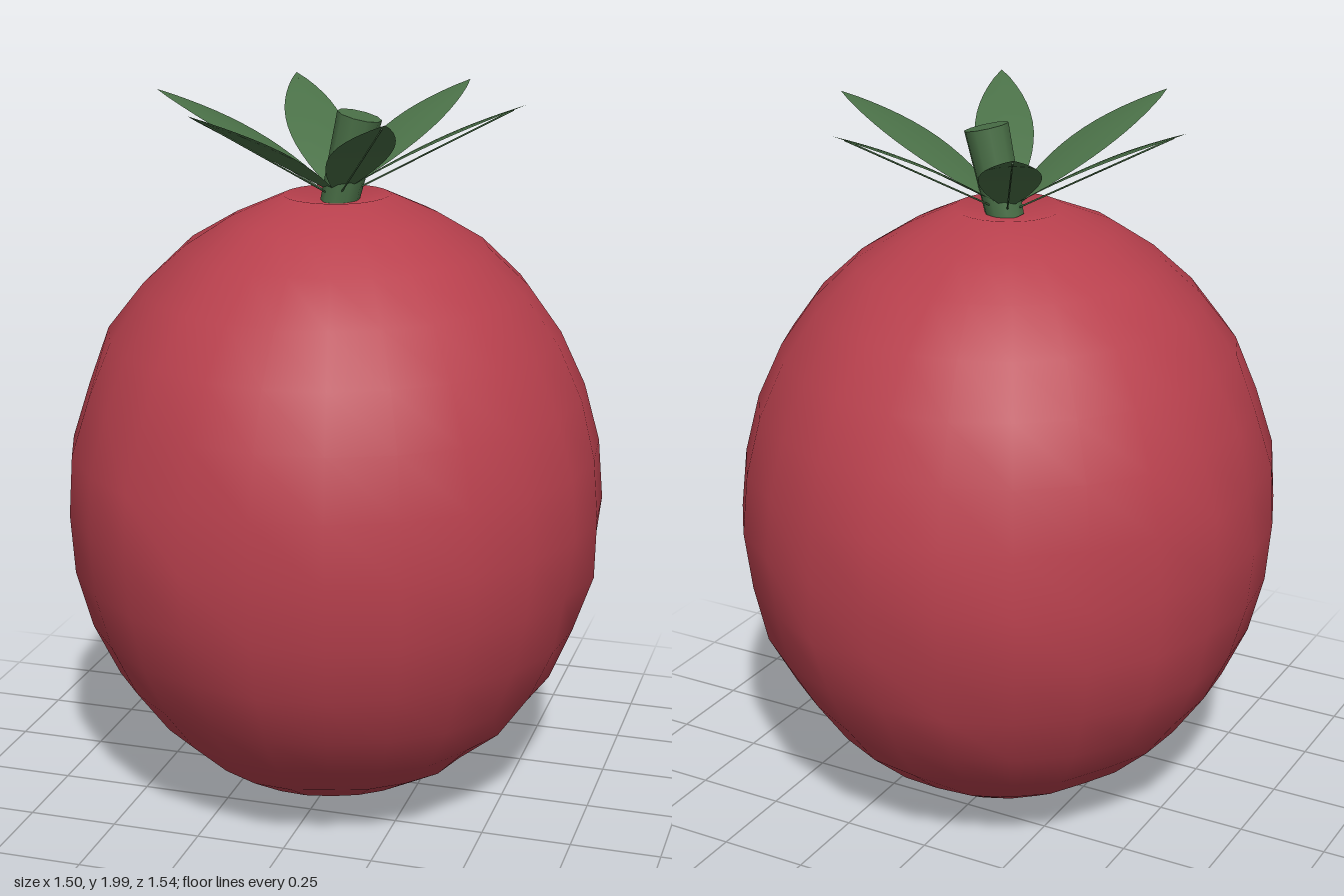
import * as THREE from 'three';
import { mergeVertices } from 'three/addons/utils/BufferGeometryUtils.js';

const red = new THREE.MeshStandardMaterial({ color: 0xb8404d });
red.name = 'tomato red';
const green = new THREE.MeshStandardMaterial({ color: 0x4a7047, side: THREE.DoubleSide });
green.name = 'leaf green';

function part(name, geometry, material) {
  const mesh = new THREE.Mesh(geometry, material);
  mesh.name = name;
  return mesh;
}

// Slightly uneven ellipsoid with a shallow dimple under the stalk
function fruitGeometry() {
  let g = new THREE.SphereGeometry(1, 24, 16);
  g.deleteAttribute('uv');
  g.deleteAttribute('normal');
  g = mergeVertices(g, 1e-4);
  const p = g.attributes.position;
  const v = new THREE.Vector3();
  for (let i = 0; i < p.count; i++) {
    v.fromBufferAttribute(p, i);
    const r = Math.hypot(v.x, v.z);
    const bump = 1 + 0.009 * Math.sin(9 * v.x + 4 * v.y) * Math.cos(8 * v.z - 3 * v.y)
      + 0.006 * Math.sin(17 * v.x - 13 * v.z + 11 * v.y) * r;
    const dimple = v.y > 0 ? 0.03 * Math.exp(-((r / 0.1) ** 2)) : 0;
    const shoulder = v.y > 0 ? 0.015 * Math.exp(-(((r - 0.2) / 0.12) ** 2)) : 0;
    p.setXYZ(i, v.x * 0.75 * bump, 0.875 + v.y * 0.865 * (1 + (bump - 1) * r) - dimple + shoulder,
      v.z * 0.772 * bump);
  }
  g.computeVertexNormals();
  return g;
}

// Pointed leaf along +x, rising to the tip and gently arched
function leafGeometry() {
  const g = new THREE.PlaneGeometry(1, 1, 14, 4);
  g.rotateX(-Math.PI / 2);
  const p = g.attributes.position;
  for (let i = 0; i < p.count; i++) {
    const t = p.getX(i) + 0.5;
    const s = p.getZ(i) * 2;
    const halfWidth = 0.082 * Math.pow(Math.sin(Math.PI * t), 0.85);
    const y = 0.265 * t + 0.022 * Math.sin(Math.PI * t) - 0.006 * s * s * Math.sin(Math.PI * t);
    p.setXYZ(i, 0.52 * t, y, s * halfWidth);
  }
  g.computeVertexNormals();
  return g;
}

// Straight rod between two points
function rodGeometry(a, b, topRadius, bottomRadius, sides) {
  const d = b.clone().sub(a);
  const g = new THREE.CylinderGeometry(topRadius, bottomRadius, d.length(), sides);
  g.applyQuaternion(new THREE.Quaternion().setFromUnitVectors(new THREE.Vector3(0, 1, 0), d.normalize()));
  const mid = a.clone().add(b).multiplyScalar(0.5);
  return g.translate(mid.x, mid.y, mid.z);
}

export function createModel() {
  const model = new THREE.Group();
  model.name = 'tomato';
  model.add(part('fruit', fruitGeometry(), red));

  // Six leaves, each with a thin rib beneath
  const crown = new THREE.Group();
  crown.name = 'leafCrown';
  crown.position.set(0, 1.735, -0.01);
  const leaf = leafGeometry();
  const rib = rodGeometry(new THREE.Vector3(0.03, 0.004, 0), new THREE.Vector3(0.485, 0.25, 0), 0.0025, 0.0025, 5);
  for (let i = 0; i < 6; i++) {
    const sepal = new THREE.Group();
    sepal.name = 'leaf' + (i + 1);
    sepal.rotation.y = i * Math.PI / 3;
    sepal.add(part('leafBlade', leaf, green), part('leafRib', rib, green));
    crown.add(sepal);
  }
  model.add(crown);

  // Leaning stalk
  const stalk = rodGeometry(new THREE.Vector3(0.005, 1.71, -0.01), new THREE.Vector3(0.063, 1.952, -0.01), 0.062, 0.052, 10);
  model.add(part('stalk', stalk, green));
  return model;
}
